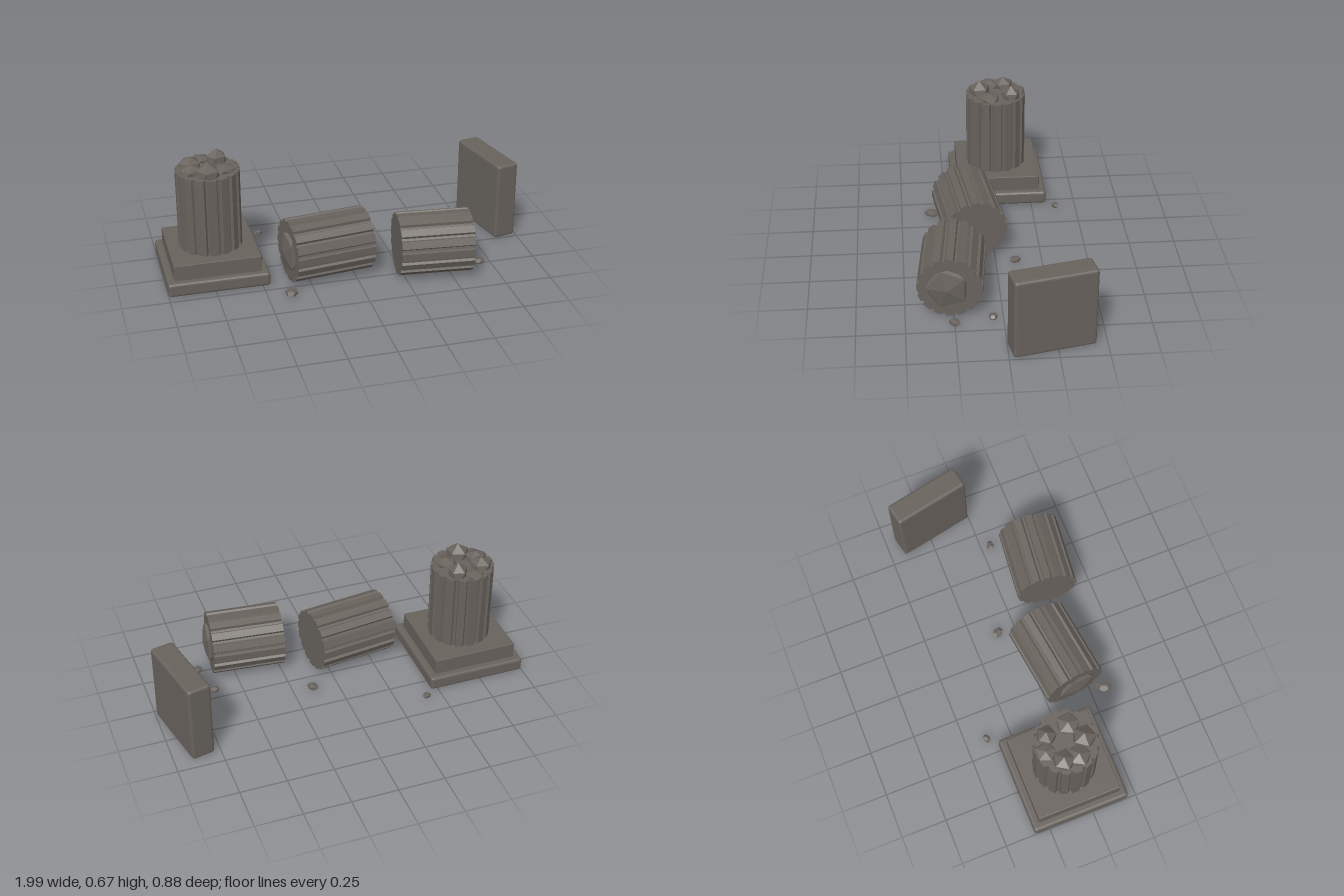
import * as THREE from 'three';
import { RoundedBoxGeometry } from 'three/addons/geometries/RoundedBoxGeometry.js';

export function createModel() {
  const stone = new THREE.MeshStandardMaterial({ color: 0x68625c });
  stone.name = 'weathered stone';
  stone.flatShading = true;
  const model = new THREE.Group();
  model.name = 'ruinedColumn';

  const add = (name, geometry, x, y, z, parent = model) => {
    const mesh = new THREE.Mesh(geometry, stone);
    mesh.name = name;
    mesh.position.set(x, y, z);
    parent.add(mesh);
    return mesh;
  };

  // Fluted drum, centred, with its axis along z
  const drumGeometry = (length, radius = 0.17, flutes = 16) => {
    const points = [];
    for (let i = 0; i < flutes; i++) {
      for (const [t, r] of [[-0.29, 1], [0.29, 1], [0.4, 0.92], [0.6, 0.92]]) {
        const a = ((i + t) / flutes) * Math.PI * 2;
        points.push(new THREE.Vector2(Math.cos(a) * r * radius, Math.sin(a) * r * radius));
      }
    }
    const g = new THREE.ExtrudeGeometry(new THREE.Shape(points), { depth: length, bevelEnabled: false });
    return g.translate(0, 0, -length / 2);
  };

  // Standing stump on its stepped base
  add('plinth', new RoundedBoxGeometry(0.54, 0.075, 0.54, 2, 0.015), -0.73, 0.0425, -0.065);
  add('baseStep', new RoundedBoxGeometry(0.465, 0.1, 0.465, 1, 0.004), -0.73, 0.117, -0.065);
  add('standingShaft', drumGeometry(0.435).rotateX(-Math.PI / 2), -0.73, 0.3805, -0.062);

  // Broken stones crowning the stump: x, z, top height, radius
  [
    [-0.74, 0.03, 0.67, 0.068], [-0.665, -0.145, 0.67, 0.058], [-0.815, -0.11, 0.655, 0.064],
    [-0.82, -0.03, 0.642, 0.066], [-0.648, -0.02, 0.632, 0.066], [-0.745, -0.18, 0.622, 0.058]
  ].forEach(([x, z, top, r], i) => {
    const rock = add('brokenTop', new THREE.IcosahedronGeometry(r, 0), x, 0.6, z);
    // Turn one corner of the stone upwards
    rock.geometry.rotateZ(0.5536).rotateY(i * 1.3);
    rock.scale.set(1, (top - 0.6) / r, 1);
  });

  // Fallen drums, each with a jagged fracture on one end
  const fallenDrum = (name, x, z, length, angle, end) => {
    const group = new THREE.Group();
    group.name = name;
    group.position.set(x, 0.175, z);
    group.rotation.y = angle;
    add('drumBody', drumGeometry(length).rotateY(Math.PI / 2), 0, 0, 0, group);
    const fracture = add('fracture', new THREE.IcosahedronGeometry(0.12, 0).rotateZ(0.5536 - Math.PI / 2),
      end * length / 2, 0, 0.012, group);
    fracture.scale.set(0.3, 1.04, 1);
    fracture.rotation.x = 0.3;
    model.add(group);
  };
  fallenDrum('fallenDrumNear', -0.138, 0.13, 0.435, 0.127, -1);
  fallenDrum('fallenDrumFar', 0.417, 0.25, 0.392, -0.102, 1);

  // Upright slab
  add('slab', new RoundedBoxGeometry(0.127, 0.44, 0.43, 2, 0.015), 0.888, 0.225, -0.222).rotation.y = 0.21;

  // Scattered pebbles: x, z, radius
  [
    [-0.412, -0.382, 0.026], [-0.375, 0.328, 0.045], [0.14, -0.103, 0.035],
    [0.652, 0.053, 0.029], [0.692, 0.25, 0.034]
  ].forEach(([x, z, r], i) => {
    const pebble = add('pebble', new THREE.DodecahedronGeometry(r, 0), x, 0.02, z);
    pebble.scale.set(1, 0.016 / r, 0.78);
    pebble.rotation.y = 0.3 + i * 0.9;
  });

  return model;
}
